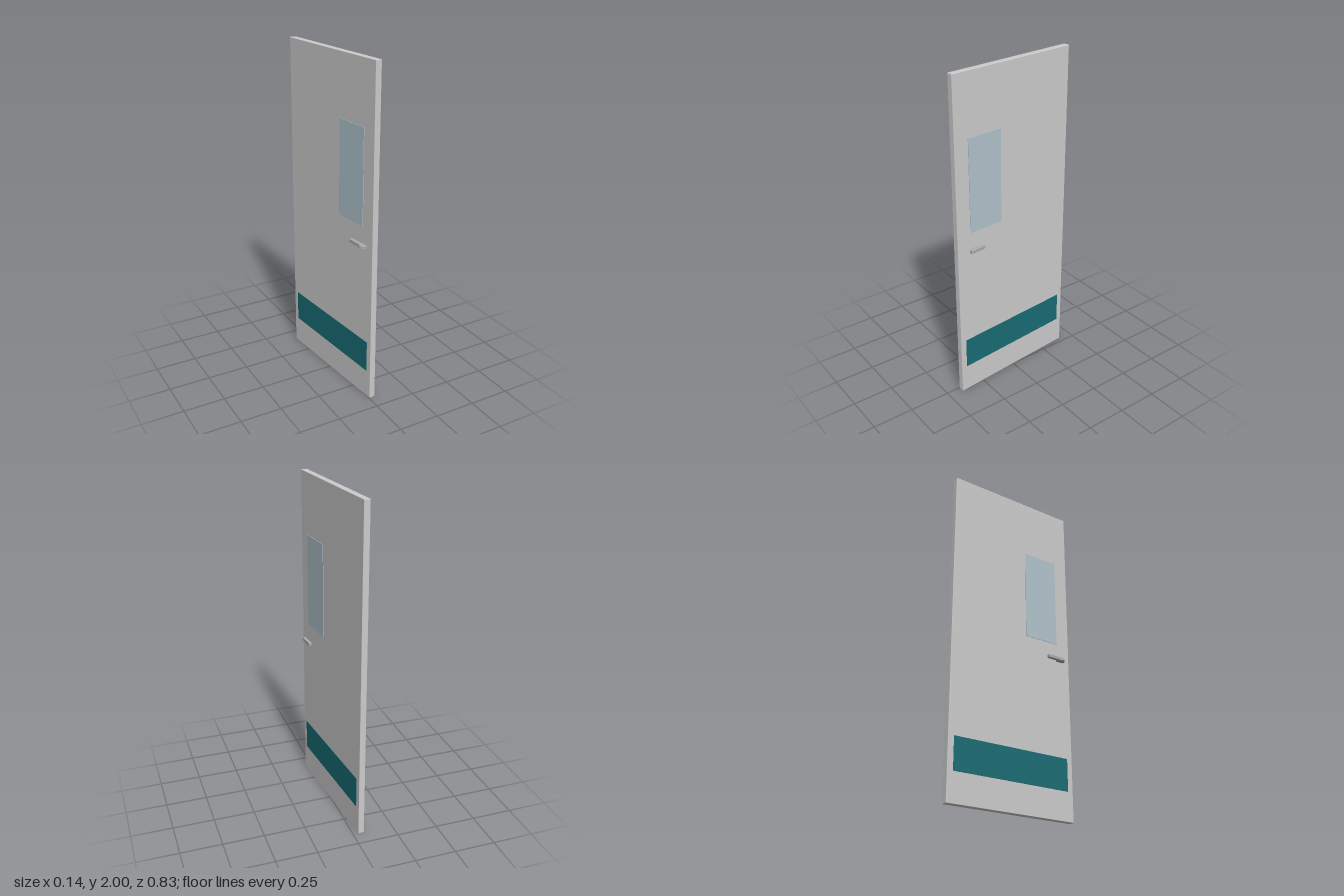
import * as THREE from 'three';
import { RoundedBoxGeometry } from 'three/addons/geometries/RoundedBoxGeometry.js';

const material = (color) => new THREE.MeshStandardMaterial({ color });

export function createModel() {
  const model = new THREE.Group();
  model.name = 'door';

  // The whole door stands slightly ajar
  const leaf = new THREE.Group();
  leaf.name = 'doorLeaf';
  leaf.position.x = -0.015;
  leaf.rotation.y = THREE.MathUtils.degToRad(5);
  model.add(leaf);

  const grey = material(0xcccccc);
  const metal = material(0xa9acb0);
  const glass = material(0xb1c4cb);
  const teal = material(0x186c74);

  const add = (name, geometry, mat, x, y, z) => {
    const mesh = new THREE.Mesh(geometry, mat);
    mesh.name = name;
    mesh.position.set(x, y, z);
    leaf.add(mesh);
    return mesh;
  };

  const thickness = 0.037;

  // Main slab with softened edges
  add('slab', new RoundedBoxGeometry(thickness, 2, 0.826, 2, 0.003), grey, 0, 1, 0);

  // Vision panel, slightly proud of both faces
  add('window', new THREE.BoxGeometry(thickness + 0.006, 0.565, 0.226), glass, 0, 1.353, 0.209);

  // Kick plates and lever handles on both faces
  for (const [side, label] of [[-1, 'right'], [1, 'left']]) {
    add(label + 'KickPlate', new THREE.BoxGeometry(0.004, 0.19, 0.754), teal,
      side * thickness / 2, 0.267, 0);
    add(label + 'Lever', new RoundedBoxGeometry(0.02, 0.023, 0.102, 3, 0.005), metal,
      side * 0.0425, 0.968, 0.2915);
  }

  // Round lever mount on the right face
  add('leverMount', new THREE.CylinderGeometry(0.027, 0.027, 0.012, 32), metal, -0.03, 0.964, 0.34);

  return model;
}
